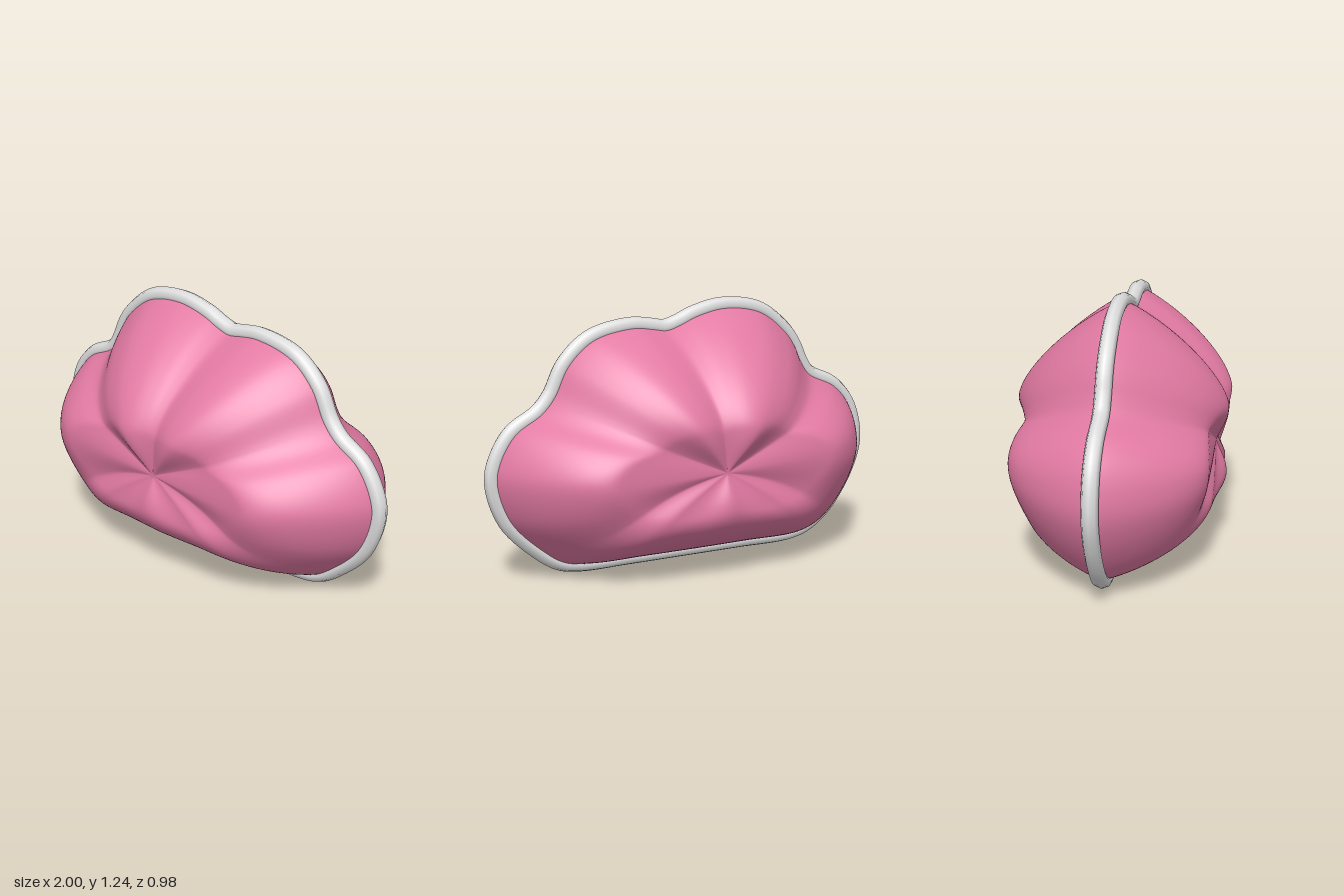
import * as THREE from 'three';

const CENTRE_Y = 0.5, CENTRE_Z = 0.425, RIM = 0.038;

// Cloud outline, clockwise from the bottom left corner
const OUTLINE = [
  [-0.59, 0.04], [-0.69, 0.07], [-0.80, 0.155], [-0.92, 0.335], [-0.962, 0.49], [-0.92, 0.665],
  [-0.83, 0.768], [-0.685, 0.84], [-0.638, 0.905], [-0.6, 0.985], [-0.545, 1.06], [-0.4, 1.166],
  [-0.205, 1.197], [-0.05, 1.167], [0.035, 1.132], [0.105, 1.112], [0.175, 1.122], [0.28, 1.132],
  [0.48, 1.088], [0.605, 0.98], [0.677, 0.842], [0.738, 0.772], [0.865, 0.69], [0.94, 0.57],
  [0.958, 0.47], [0.897, 0.285], [0.74, 0.125], [0.64, 0.06], [0.54, 0.04], [0.3, 0.038],
  [0, 0.038], [-0.3, 0.038],
];

// Puff profile by angle: [degrees, height, where the peak lies, fullness, is it a crease, bend]
const LOBES = [
  [-1, 0.435, 0.57, 1.6, 0, 0], [24, 0.415, 0.45, 1.5, 1, 0], [52, 0.478, 0.35, 1.5, 0, 0],
  [81, 0.44, 0.32, 1.5, 1, 0], [120, 0.49, 0.31, 1.5, 0, 0], [154, 0.42, 0.45, 1.5, 1, 0],
  [175, 0.447, 0.56, 1.6, 0, 0], [200, 0.41, 0.48, 2, 1, 20], [214, 0.442, 0.41, 1.9, 0, 10],
  [270, 0.475, 0.35, 2, 0, 0], [326, 0.442, 0.41, 1.9, 0, -10], [340, 0.405, 0.48, 2, 1, -20],
  [359, 0.435, 0.57, 1.6, 0, 0],
];

function lobeAt(angle, t) {
  let a = angle;
  while (a < -1) a += 360;
  while (a >= 359) a -= 360;
  const keyAngle = key => key[0] + key[5] * (t - 0.5);
  let i = 0;
  while (i < LOBES.length - 2 && a >= keyAngle(LOBES[i + 1])) i++;
  const A = LOBES[i], B = LOBES[i + 1];
  const s = (a - keyAngle(A)) / (keyAngle(B) - keyAngle(A));
  const soft = s * s * (3 - 2 * s);
  // steeper beside a crease, flat on top of a lobe
  let w = soft;
  if (A[4]) w = (soft + Math.sin(s * Math.PI / 2)) / 2;
  if (B[4]) w = (soft + 1 - Math.cos(s * Math.PI / 2)) / 2;
  return [1, 2, 3].map(k => A[k] + (B[k] - A[k]) * w);
}

function puffDepth(t, [height, peak, fullness]) {
  if (t < peak) {
    return CENTRE_Z + (height - CENTRE_Z) * Math.pow(Math.sin(t / peak * Math.PI / 2), 1.3);
  }
  return height * Math.pow(1 - Math.pow((t - peak) / (1 - peak), fullness), 0.85);
}

// One puffed half: rings shrinking from the outline to the dimple in the middle
function puffGeometry(curve, side) {
  const around = 240, rings = 48;
  const positions = [0, CENTRE_Y, side * CENTRE_Z], index = [];
  const rim = curve.getSpacedPoints(around).slice(0, around);
  const angles = rim.map(p => THREE.MathUtils.radToDeg(Math.atan2(p.y - CENTRE_Y, p.x)));
  for (let r = 1; r <= rings; r++) {
    const t = Math.sin(r / rings * Math.PI / 2); // rings crowd towards the steep edge
    rim.forEach((p, i) => positions.push(
      p.x * t, CENTRE_Y + (p.y - CENTRE_Y) * t, side * puffDepth(t, lobeAt(angles[i], t))));
  }
  const face = (a, b, c) => (side > 0 ? index.push(a, c, b) : index.push(a, b, c));
  for (let i = 0; i < around; i++) {
    const j = (i + 1) % around;
    face(0, 1 + i, 1 + j);
    for (let r = 0; r < rings - 1; r++) {
      const a = 1 + r * around, b = a + around;
      face(a + i, b + i, b + j);
      face(a + i, b + j, a + j);
    }
  }
  const geometry = new THREE.BufferGeometry();
  geometry.setAttribute('position', new THREE.Float32BufferAttribute(positions, 3));
  geometry.setIndex(index);
  geometry.computeVertexNormals();
  return geometry;
}

export function createModel() {
  const pink = new THREE.MeshStandardMaterial({ color: 0xe27aa3 });
  pink.name = 'pink';
  const paleGrey = new THREE.MeshStandardMaterial({ color: 0xdedede });
  paleGrey.name = 'pale grey';

  const curve = new THREE.CatmullRomCurve3(
    OUTLINE.map(([x, y]) => new THREE.Vector3(x, y, 0)), true, 'centripetal');
  curve.arcLengthDivisions = 1000;

  const model = new THREE.Group();
  model.name = 'cloudCushion';
  const add = (name, geometry, material) => {
    const mesh = new THREE.Mesh(geometry, material);
    mesh.name = name;
    model.add(mesh);
  };

  // Puffed cushion halves
  add('frontPuff', puffGeometry(curve, 1), pink);
  add('backPuff', puffGeometry(curve, -1), pink);
  // Piping round the seam
  add('piping', new THREE.TubeGeometry(curve, 240, RIM, 8, true), paleGrey);
  return model;
}
